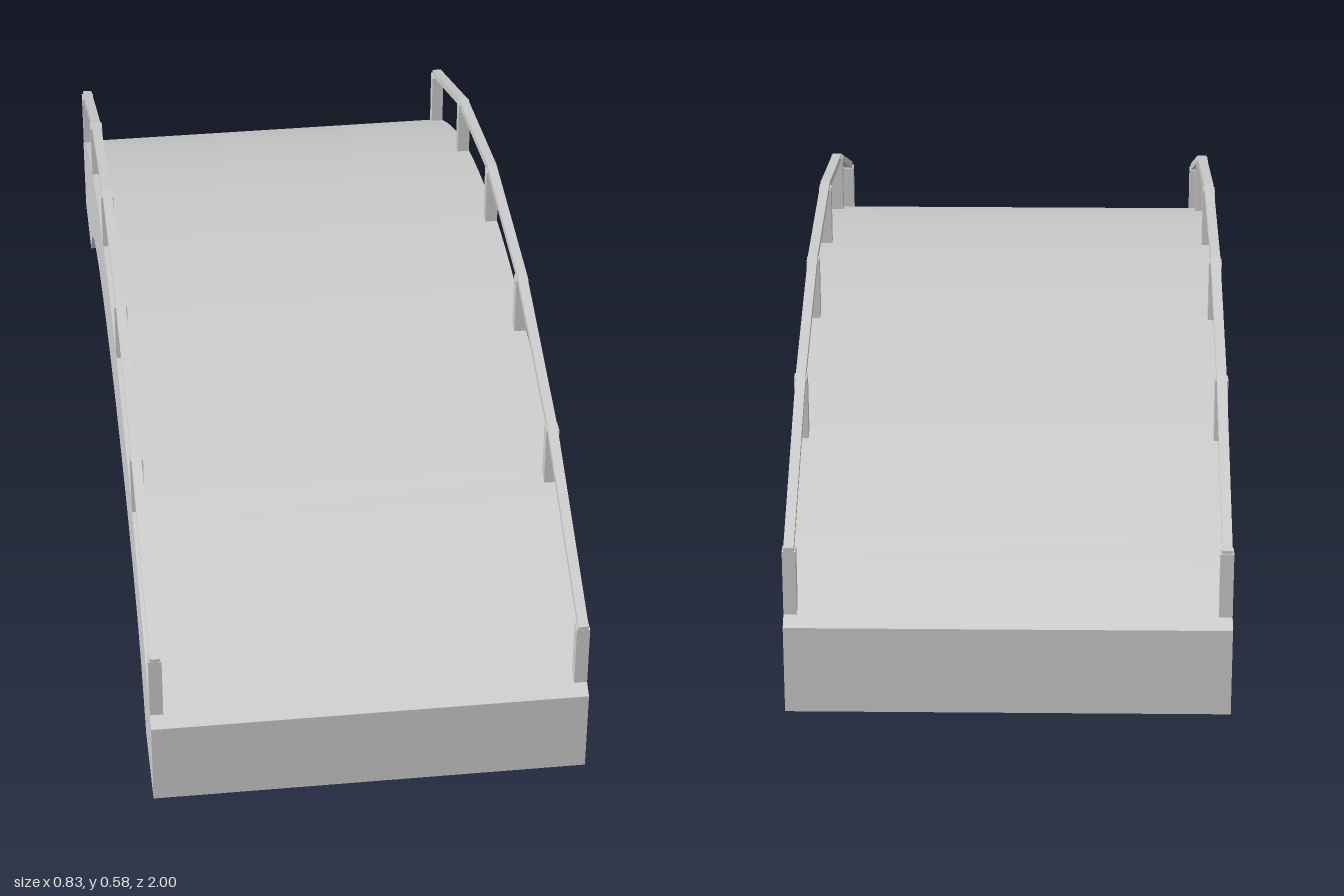
import * as THREE from 'three';

const HALF_W = 0.413;
const RADIUS = 1.897;      // radius of the walkway arc
const CROWN = 0.46;        // height of the walkway at midspan
const deckY = z => CROWN - RADIUS + Math.sqrt(RADIUS * RADIUS - z * z);

// Extrude a (z, y) outline along x, centred on the given x
function extrudeAcross(outline, width, x, material) {
  const shape = new THREE.Shape(outline.map(([z, y]) => new THREE.Vector2(-z, y)));
  const geo = new THREE.ExtrudeGeometry(shape, { depth: width, bevelEnabled: false });
  geo.translate(0, 0, -width / 2);
  geo.rotateY(Math.PI / 2);
  const mesh = new THREE.Mesh(geo, material);
  mesh.position.x = x;
  return mesh;
}

export function createModel() {
  const model = new THREE.Group();
  model.name = 'archedFootbridge';
  const stone = new THREE.MeshStandardMaterial({ color: 0xcccccc });
  stone.name = 'light grey';

  // Arched span: curved walkway above, flattened arch below
  const outline = [];
  const steps = 32;
  for (let i = 0; i <= steps; i++) {
    const z = 1 - (2 * i) / steps;
    outline.push([z, deckY(z)]);
  }
  const soffit = [[0.82, 0], [0.725, 0.1], [0.64, 0.152], [0.54, 0.188], [0.43, 0.216],
    [0.32, 0.235], [0.21, 0.247], [0.1, 0.254]];
  outline.push([-1, 0]);
  soffit.forEach(([z, y]) => outline.push([-z, y]));
  outline.push([0, 0.256]);
  [...soffit].reverse().forEach(p => outline.push(p));
  outline.push([1, 0]);
  const span = extrudeAcross(outline, HALF_W * 2, 0, stone);
  span.name = 'archSpan';
  model.add(span);

  // Railings: six posts and a faceted handrail on each side
  const postW = 0.025;
  const postZ = [0.963, 0.578, 0.193, -0.193, -0.578, -0.963];
  const railTop = [[0.975, 0.327], [0.582, 0.498], [0.196, 0.584],
    [-0.196, 0.584], [-0.582, 0.498], [-0.975, 0.327]];
  const railUnder = railTop.map(([z, y]) => [z, y - 0.016]).reverse();

  for (const side of [1, -1]) {
    const railing = new THREE.Group();
    railing.name = side > 0 ? 'leftRailing' : 'rightRailing';
    const x = side * (HALF_W - postW / 2);

    for (const z of postZ) {
      const bottom = deckY(Math.abs(z) + postW / 2) - 0.001;
      const top = deckY(z) + 0.122;
      const post = new THREE.Mesh(new THREE.BoxGeometry(postW, top - bottom, postW), stone);
      post.position.set(x, (top + bottom) / 2, z);
      post.name = 'post';
      railing.add(post);
    }

    const rail = extrudeAcross([...railTop, ...railUnder], 0.019, x, stone);
    rail.name = 'handrail';
    railing.add(rail);
    model.add(railing);
  }
  return model;
}
